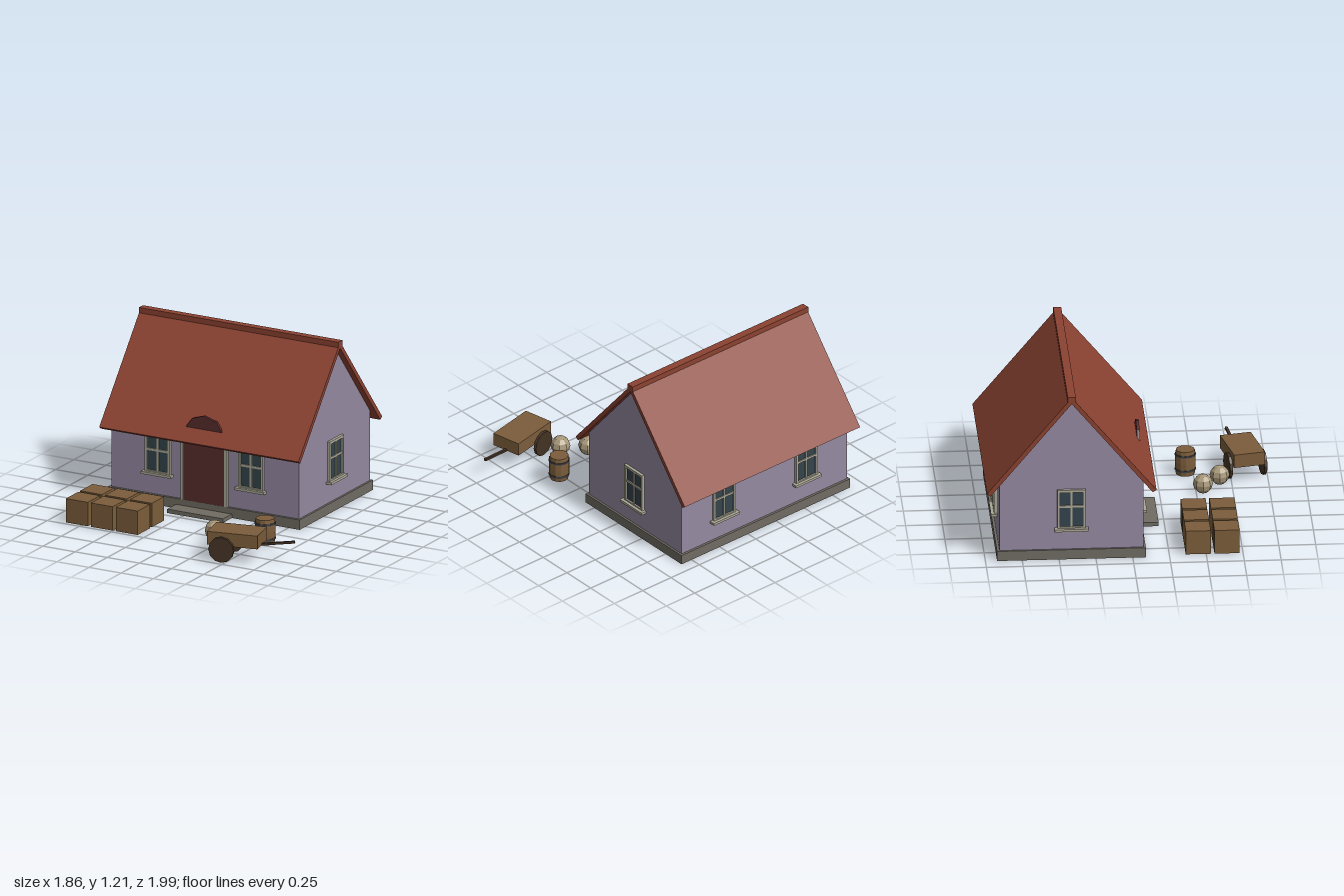
import * as THREE from 'three';

const mat = (name, color) => {
  const m = new THREE.MeshStandardMaterial({ color });
  m.name = name;
  m.flatShading = true;
  return m;
};

export function createModel() {
  const wall = mat('lilac plaster', 0x9589a1);
  const roofRed = mat('roof red', 0x8b4231);
  const stone = mat('stone', 0x706c63);
  const trim = mat('pale trim', 0xaba896);
  const glass = mat('window glass', 0x34444c);
  const doorRed = mat('door red', 0x592d2e);
  const wood = mat('wood', 0x7b5d3b);
  const darkWood = mat('dark wood', 0x443224);
  const cloth = mat('sack cloth', 0xa8987a);
  const iron = mat('iron', 0x3a3e43);

  const model = new THREE.Group();
  model.name = 'cottageYard';

  const add = (parent, name, geometry, material, x = 0, y = 0, z = 0) => {
    const mesh = new THREE.Mesh(geometry, material);
    mesh.name = name;
    mesh.position.set(x, y, z);
    parent.add(mesh);
    return mesh;
  };
  const box = (parent, name, material, w, h, d, x, y, z) =>
    add(parent, name, new THREE.BoxGeometry(w, h, d), material, x, y, z);
  const polygon = (points) => new THREE.Shape(points.map(([x, y]) => new THREE.Vector2(x, y)));
  const extrude = (shape, depth) => new THREE.ExtrudeGeometry(shape, { depth, bevelEnabled: false });

  // House, centred on its own footprint
  const house = new THREE.Group();
  house.name = 'house';
  house.position.set(-0.155, 0, -0.416);
  model.add(house);
  const halfX = 0.73, halfZ = 0.488;

  box(house, 'foundation', stone, 1.49, 0.07, 1.01, 0, 0.035, 0);
  box(house, 'doorStep', stone, 0.435, 0.028, 0.12, 0, 0.014, 0.565);

  // Gabled walls and roof run along x
  const alongX = (name, points, length, material) => {
    const g = extrude(polygon(points), length);
    g.translate(0, 0, -length / 2);
    g.rotateY(Math.PI / 2);
    return add(house, name, g, material);
  };
  alongX('walls', [[-halfZ, 0.07], [halfZ, 0.07], [halfZ, 0.572], [0, 1.163], [-halfZ, 0.572]], halfX * 2, wall);
  alongX('roof', [[-0.575, 0.508], [-0.55, 0.49], [0, 1.155], [0.55, 0.49], [0.575, 0.508], [0, 1.2]], 1.55, roofRed);
  box(house, 'ridgeCap', roofRed, 1.552, 0.042, 0.055, 0, 1.184, 0);

  // Door with a faceted arched top that breaks through the roof
  const archPoints = [[-0.16, 0.07], [0.16, 0.07], [0.16, 0.53]];
  for (let i = 1; i < 6; i++) {
    const a = Math.PI / 2 + (3 - i) * Math.PI / 5;
    archPoints.push([0.16 * Math.cos(a), 0.53 + 0.16 * Math.sin(a)]);
  }
  const arch = archPoints.slice(0, 3)
    .concat(archPoints.slice(3).sort((p, q) => q[0] - p[0]))
    .concat([[-0.16, 0.53]]);
  add(house, 'door', extrude(polygon(arch), 0.02), doorRed, 0, 0, halfZ - 0.004);
  for (const s of [-1, 1]) {
    box(house, 'doorJamb', trim, 0.022, 0.47, 0.024, s * 0.17, 0.305, halfZ + 0.008);
  }

  // Windows: frame, glass, glazing bars and sill, facing +z locally
  const makeWindow = (x, z, turn) => {
    const win = new THREE.Group();
    win.name = 'window';
    win.position.set(x, 0.365, z);
    win.rotation.y = turn;
    house.add(win);
    const w = 0.096, h = 0.145, iw = 0.079, ih = 0.126;
    const frame = polygon([[-w, -h], [w, -h], [w, h], [-w, h]]);
    frame.holes.push(new THREE.Path([[-iw, -ih], [-iw, ih], [iw, ih], [iw, -ih]]
      .map(([a, b]) => new THREE.Vector2(a, b))));
    add(win, 'windowFrame', extrude(frame, 0.02), trim);
    box(win, 'windowGlass', glass, iw * 2, ih * 2, 0.008, 0, 0, 0.004);
    box(win, 'verticalBar', trim, 0.016, ih * 2, 0.012, 0, 0, 0.01);
    box(win, 'crossBar', trim, iw * 2, 0.016, 0.012, 0, 0.022, 0.0102);
    box(win, 'windowSill', trim, 0.23, 0.018, 0.042, 0, -0.145, 0.02);
  };
  for (const s of [-1, 1]) {
    makeWindow(s * 0.363, halfZ, 0);
    makeWindow(s * 0.363, -halfZ, Math.PI);
    makeWindow(s * halfX, 0, s * Math.PI / 2);
  }

  // Two rows of crates
  for (let i = 0; i < 3; i++) {
    for (let j = 0; j < 2; j++) {
      box(model, 'crate', wood, 0.17, 0.17, 0.17, -0.783 + i * 0.194, 0.085, 0.446 + j * 0.195);
    }
  }

  // Sacks
  for (const [x, z] of [[0.185, 0.545], [0.328, 0.667]]) {
    add(model, 'sack', new THREE.SphereGeometry(0.068, 8, 6), cloth, x, 0.066, z);
  }

  // Barrel with two iron hoops
  const barrel = new THREE.Group();
  barrel.name = 'barrel';
  barrel.position.set(0.524, 0, 0.447);
  model.add(barrel);
  const stave = [[0, 0], [0.064, 0], [0.07, 0.05], [0.071, 0.088], [0.07, 0.126], [0.064, 0.177], [0, 0.177]];
  add(barrel, 'barrelBody', new THREE.LatheGeometry(stave.map(([r, y]) => new THREE.Vector2(r, y)), 12), wood);
  for (const y of [0.036, 0.143]) {
    add(barrel, 'barrelHoop', new THREE.CylinderGeometry(0.072, 0.072, 0.014, 12), iron, 0, y, 0);
  }

  // Handcart
  const cart = new THREE.Group();
  cart.name = 'handcart';
  cart.position.set(0.524, 0, 0.835);
  cart.rotation.y = 0.21;
  model.add(cart);
  box(cart, 'cartBody', wood, 0.357, 0.094, 0.216, 0, 0.16, 0);
  for (const s of [-1, 1]) {
    const wheel = add(cart, 'cartWheel', new THREE.CylinderGeometry(0.09, 0.09, 0.02, 12), darkWood, -0.073, 0.09, s * 0.121);
    wheel.rotation.x = Math.PI / 2;
  }
  const handle = box(cart, 'cartHandle', darkWood, 0.27, 0.016, 0.018, 0.277, 0.133, 0);
  handle.rotation.z = 0.16;

  return model;
}
